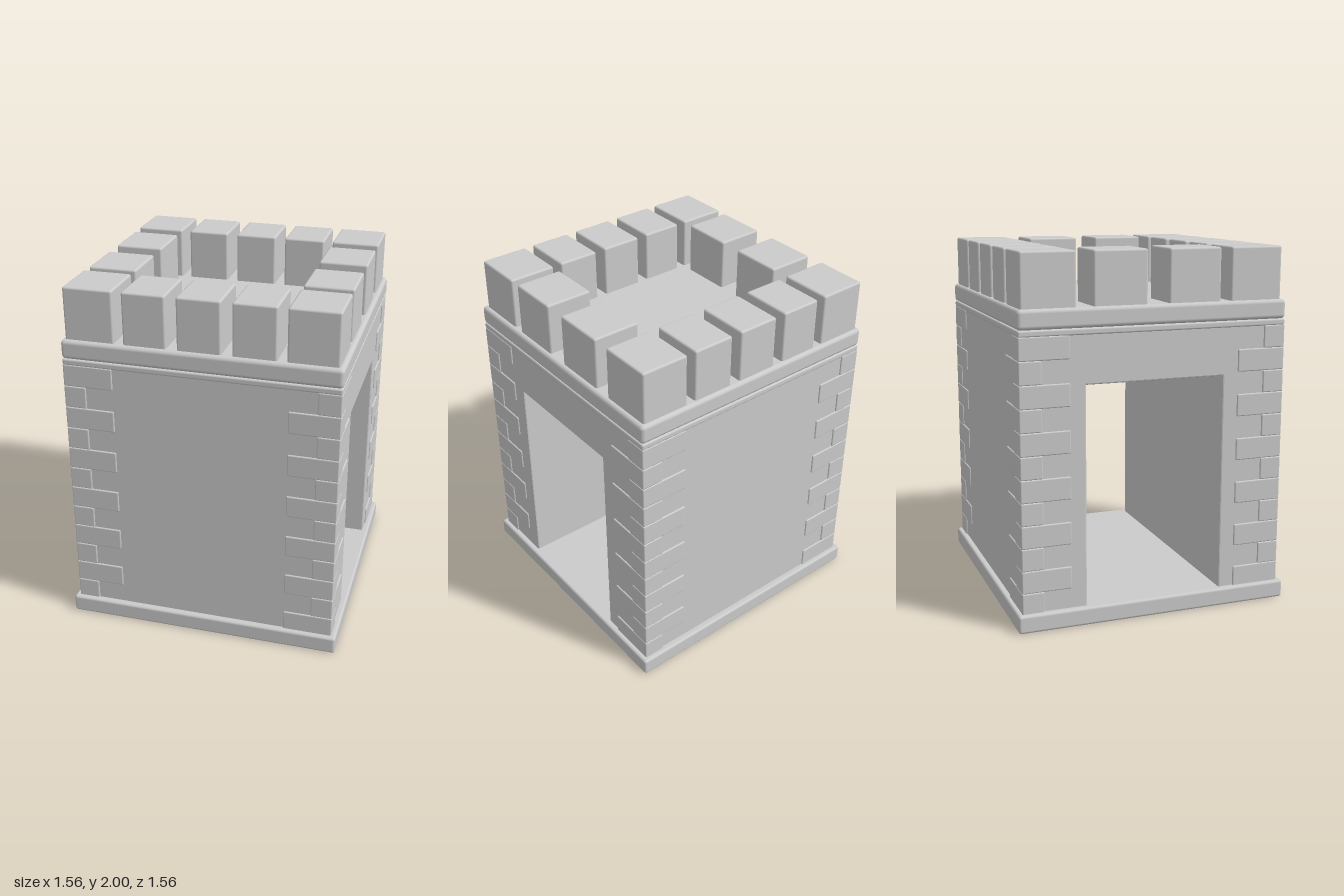
import * as THREE from 'three';
import { RoundedBoxGeometry } from 'three/addons/geometries/RoundedBoxGeometry.js';

const stone = new THREE.MeshStandardMaterial({ color: 0xcccccc });

// Rounded stone block given by its min and max on each axis
function block(parent, name, [x0, x1], [y0, y1], [z0, z1], radius = 0.01) {
  const mesh = new THREE.Mesh(new RoundedBoxGeometry(x1 - x0, y1 - y0, z1 - z0, 2, radius), stone);
  mesh.position.set((x0 + x1) / 2, (y0 + y1) / 2, (z0 + z1) / 2);
  mesh.name = name;
  parent.add(mesh);
}

function slab(parent, name, half, y, radius) {
  block(parent, name, [-half, half], y, [-half, half], radius);
}

function group(parent, name) {
  const g = new THREE.Group();
  g.name = name;
  parent.add(g);
  return g;
}

// Tower body: an upside-down U swept along x, leaving a passage between the side faces
function addBody(parent) {
  const w = 0.745, door = 0.39, bevel = 0.008;
  const shape = new THREE.Shape([
    [-w, 0.08], [-door, 0.08], [-door, 1.31], [door, 1.31],
    [door, 0.08], [w, 0.08], [w, 1.6], [-w, 1.6],
  ].map(([x, y]) => new THREE.Vector2(x, y)));
  const depth = 2 * (w - bevel);
  const geo = new THREE.ExtrudeGeometry(shape, {
    depth, bevelThickness: bevel, bevelSize: bevel, bevelOffset: -bevel, bevelSegments: 2,
  });
  geo.translate(0, 0, -depth / 2).rotateY(Math.PI / 2);
  const mesh = new THREE.Mesh(geo, stone);
  mesh.name = 'towerWalls';
  parent.add(mesh);
}

// Corner stones: long and short sides alternate from course to course
function addCornerStones(parent) {
  const g = group(parent, 'cornerStones');
  const outer = 0.753, short = 0.63, long = 0.477, top = 1.575, step = 0.124;
  const span = (s, inner) => (s > 0 ? [inner, outer] : [-outer, -inner]);
  for (const sx of [-1, 1]) {
    for (const sz of [-1, 1]) {
      for (let i = 0; i < 12; i++) {
        const longX = (i % 2 === 0) === (sx * sz < 0);
        const y1 = top - i * step;
        block(g, 'cornerStone', span(sx, longX ? long : short),
          [Math.max(y1 - step, 0.085), y1], span(sz, longX ? short : long), 0.007);
      }
    }
  }
}

// Battlements: five merlons on the front and back, two between them on each side
function addMerlons(parent) {
  const g = group(parent, 'battlements');
  const y = [1.70, 2.0];
  const columns = [[-0.735, -0.463], [-0.413, -0.178], [-0.12, 0.117], [0.175, 0.41], [0.46, 0.73]];
  for (const z of [[-0.735, -0.437], [0.432, 0.73]]) {
    for (const x of columns) block(g, 'merlon', x, y, z, 0.012);
  }
  for (const z of [[-0.343, -0.043], [0.078, 0.375]]) {
    for (const x of [[-0.73, -0.46], [0.46, 0.73]]) block(g, 'sideMerlon', x, y, z, 0.012);
  }
}

export function createModel() {
  const tower = new THREE.Group();
  tower.name = 'gateTower';
  slab(tower, 'base', 0.78, [0, 0.1], 0.015);
  addBody(tower);
  addCornerStones(tower);
  slab(tower, 'lowerTrim', 0.753, [1.572, 1.607], 0.01);
  slab(tower, 'roofSlab', 0.756, [1.607, 1.713], 0.022);
  addMerlons(tower);
  return tower;
}
